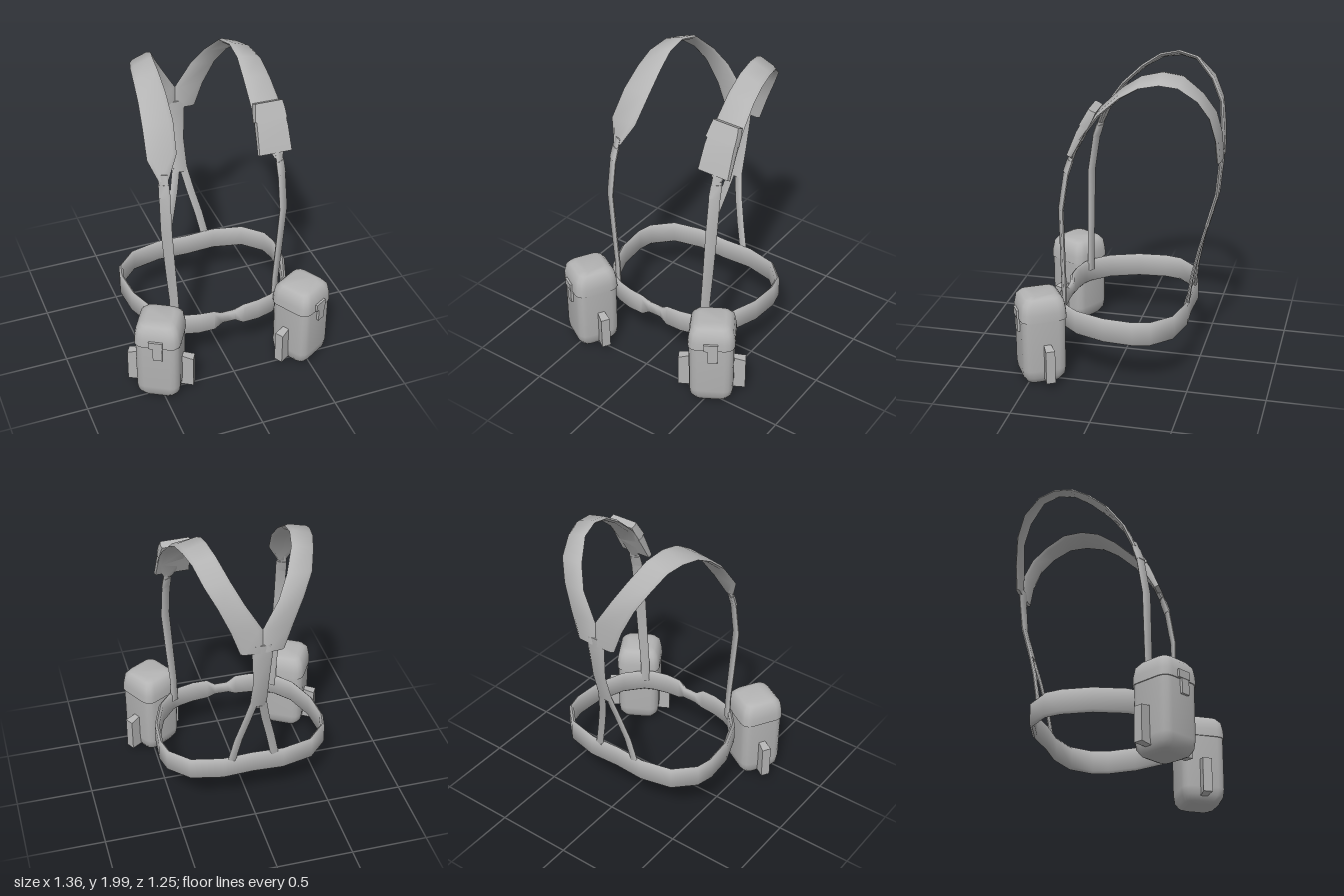
import * as THREE from 'three';
import { toCreasedNormals } from 'three/addons/utils/BufferGeometryUtils.js';

const webbing = new THREE.MeshStandardMaterial({ color: 0xb4b4b4 });
webbing.name = 'grey webbing';

const V = (x, y, z) => new THREE.Vector3(x, y, z);

// Skin a list of rings (each clockwise seen from its far end); caps unless closed
function loft(name, rings, closed = false, crease = 0.75) {
  const n = rings[0].length, m = rings.length, index = [];
  for (let i = 0; i < (closed ? m : m - 1); i++) {
    for (let j = 0; j < n; j++) {
      const k = (i + 1) % m, l = (j + 1) % n;
      const a = i * n + j, b = i * n + l, c = k * n + l, d = k * n + j;
      index.push(a, d, b, d, c, b);
    }
  }
  if (!closed) {
    const e = (m - 1) * n;
    for (let j = 1; j < n - 1; j++) index.push(0, j, j + 1, e, e + j + 1, e + j);
  }
  const geo = new THREE.BufferGeometry().setFromPoints(rings.flat());
  geo.setIndex(index);
  const mesh = new THREE.Mesh(toCreasedNormals(geo, crease), webbing);
  mesh.name = name;
  return mesh;
}

// Padded strap given by its two edges: rows of [edge A, edge B, thickness];
// the section is a flattened hexagon, bevelled over a share of its width
function strap(name, rows, { closed = false, bevel = 0.15, crease = 1.2 } = {}) {
  const m = rows.length;
  const mid = rows.map(([a, b]) => a.clone().add(b).multiplyScalar(0.5));
  const rings = rows.map(([a, b, t], i) => {
    const p = mid[closed ? (i + m - 1) % m : Math.max(i - 1, 0)];
    const q = mid[closed ? (i + 1) % m : Math.min(i + 1, m - 1)];
    const h = q.clone().sub(p).cross(b.clone().sub(a)).setLength(t / 2);
    const c = a.clone().lerp(b, bevel), d = b.clone().lerp(a, bevel);
    return [a, c.clone().add(h), d.clone().add(h), b, d.clone().sub(h), c.clone().sub(h)];
  });
  return loft(name, rings, closed, crease);
}

// Rows from centre points [x, y, z, width, thickness], sharing one width direction
const centred = (points, dir, thickness) => points.map(([x, y, z, w, t = thickness]) => {
  const d = dir.clone().setLength(w / 2);
  return [V(x, y, z).sub(d), V(x, y, z).add(d), t];
});

// Rounded square ring at height y
function squareRing(y, half, r) {
  const ring = [];
  for (let c = 0; c < 4; c++) {
    const a0 = c * Math.PI / 2, mid = a0 + Math.PI / 4;
    for (let k = 0; k <= 3; k++) {
      const a = a0 + k * Math.PI / 6;
      ring.push(V(Math.sign(Math.cos(mid)) * (half - r) + r * Math.cos(a), y,
        Math.sign(Math.sin(mid)) * (half - r) + r * Math.sin(a)));
    }
  }
  return ring;
}

function box(name, w, h, d, x, y, z) {
  const mesh = new THREE.Mesh(new THREE.BoxGeometry(w, h, d), webbing);
  mesh.name = name;
  mesh.position.set(x, y, z);
  return mesh;
}

// Hip pouch: body, overhanging lid, front clasp and two side tabs
function beltPouch(name) {
  const g = new THREE.Group();
  g.name = name;
  g.add(loft('pouchBody', [[0, 0.085, 0.04], [0.012, 0.112, 0.05], [0.05, 0.135, 0.056],
    [0.1, 0.141, 0.056], [0.45, 0.142, 0.056]].map(r => squareRing(...r)), false, 0.9));
  g.add(loft('pouchLid', [[0.44, 0.149, 0.06], [0.49, 0.147, 0.06], [0.55, 0.136, 0.054],
    [0.58, 0.112, 0.048], [0.59, 0.085, 0.04]].map(r => squareRing(...r)), false, 0.9));
  g.add(box('claspStrap', 0.06, 0.14, 0.018, 0.012, 0.42, 0.149));
  g.add(box('claspHead', 0.09, 0.05, 0.02, 0, 0.468, 0.151));
  for (const s of [-1, 1]) {
    const tab = (u, y0, y1, w) => [V(s * u, y0, -0.01 - w), V(s * u, y0, -0.01 + w),
      V(s * u, y1, -0.01 + w), V(s * u, y1, -0.01 - w)];
    const rings = [tab(0.13, 0.04, 0.28, 0.022), tab(0.215, 0.045, 0.265, 0.03)];
    if (s < 0) rings.forEach(r => r.reverse());
    g.add(loft('sideTab', rings));
  }
  return g;
}

export function createModel() {
  const model = new THREE.Group();
  model.name = 'harness';

  // Waist belt: half outline [x, z, half height], mirrored into a loop
  const half = [[0, 0.385, 0.04], [0.045, 0.385, 0.04], [0.1, 0.395, 0.076], [0.2, 0.39, 0.08],
    [0.3, 0.365, 0.08], [0.36, 0.335, 0.08], [0.46, 0.22, 0.08], [0.53, 0.03, 0.08],
    [0.545, -0.16, 0.08], [0.52, -0.265, 0.08], [0.4, -0.385, 0.08], [0.2, -0.43, 0.08],
    [0, -0.42, 0.08]];
  const loop = [...half, ...half.slice(1, -1).reverse().map(([x, z, h]) => [-x, z, h])];
  model.add(strap('belt', loop.map(([x, z, h]) =>
    [V(x, 0.39 - h, z), V(x, 0.39 + h, z), 0.03]), { closed: true, bevel: 0.1 }));

  // Shoulder strap stations: inner edge, outer edge
  const shoulder = [
    [0.345, 1.46, 0.262, 0.405, 1.46, 0.25], [0.27, 1.6, 0.2, 0.457, 1.59, 0.195],
    [0.25, 1.76, 0.085, 0.443, 1.75, 0.08], [0.25, 1.885, -0.045, 0.427, 1.86, -0.045],
    [0.255, 1.965, -0.16, 0.415, 1.925, -0.16], [0.25, 1.995, -0.28, 0.395, 1.945, -0.28],
    [0.225, 1.97, -0.4, 0.365, 1.925, -0.39], [0.167, 1.855, -0.51, 0.325, 1.84, -0.5],
    [0.1, 1.73, -0.58, 0.26, 1.72, -0.565], [0, 1.56, -0.605, 0.19, 1.56, -0.595],
    [0, 1.4, -0.61, 0.135, 1.4, -0.603]];

  for (const s of [-1, 1]) {
    const side = s > 0 ? 'left' : 'right';
    model.add(strap(side + 'ShoulderStrap', shoulder.map(([a, b, c, d, e, f]) =>
      [V(s * a, b, c), V(s * d, e, f), 0.024])));

    // Narrow front strap down to the belt, with its adjuster
    const across = V(0.87, 0, -0.5 * s);
    model.add(strap(side + 'FrontStrap', centred([[s * 0.375, 1.5, 0.245, 0.06],
      [s * 0.382, 1.37, 0.29, 0.07], [s * 0.387, 1.12, 0.328, 0.072],
      [s * 0.365, 0.8, 0.328, 0.066], [s * 0.348, 0.58, 0.328, 0.06],
      [s * 0.345, 0.4, 0.328, 0.06]], across, 0.022)));
    model.add(strap(side + 'Adjuster', centred([[s * 0.378, 1.44, 0.266, 0.068],
      [s * 0.382, 1.36, 0.292, 0.074]], across, 0.028)));

    // Lower back straps forking to the belt
    model.add(strap(side + 'BackStrap', centred([[s * 0.025, 0.97, -0.535, 0.055],
      [s * 0.06, 0.8, -0.49, 0.055], [s * 0.105, 0.62, -0.452, 0.055],
      [s * 0.143, 0.44, -0.432, 0.055]], V(1, 0, 0), 0.018)));

    const pouch = beltPouch(side + 'BeltPouch');
    pouch.position.set(s * 0.485, 0.005, 0.45);
    pouch.rotation.y = s * Math.PI / 6;
    model.add(pouch);
  }

  // Single strap down the spine
  model.add(strap('spineStrap', centred([[0, 1.45, -0.607, 0.135], [0, 1.36, -0.605, 0.125],
    [0, 1.16, -0.587, 0.1], [0, 0.94, -0.527, 0.108]], V(1, 0, 0), 0.024)));

  // Small pouch on the left shoulder strap, with an overlapping flap
  const boxy = { bevel: 0.03, crease: 0.75 };
  model.add(strap('shoulderPouch', centred([[0.35, 1.72, 0.14, 0.2, 0.05],
    [0.35, 1.64, 0.185, 0.215, 0.05], [0.35, 1.495, 0.253, 0.228, 0.032]], V(1, -0.02, 0)), boxy));
  model.add(strap('shoulderPouchFlap', centred([[0.35, 1.782, 0.112, 0.19, 0.05],
    [0.35, 1.74, 0.132, 0.207, 0.055], [0.347, 1.68, 0.165, 0.222, 0.057]], V(1, -0.02, 0)), boxy));

  return model;
}
